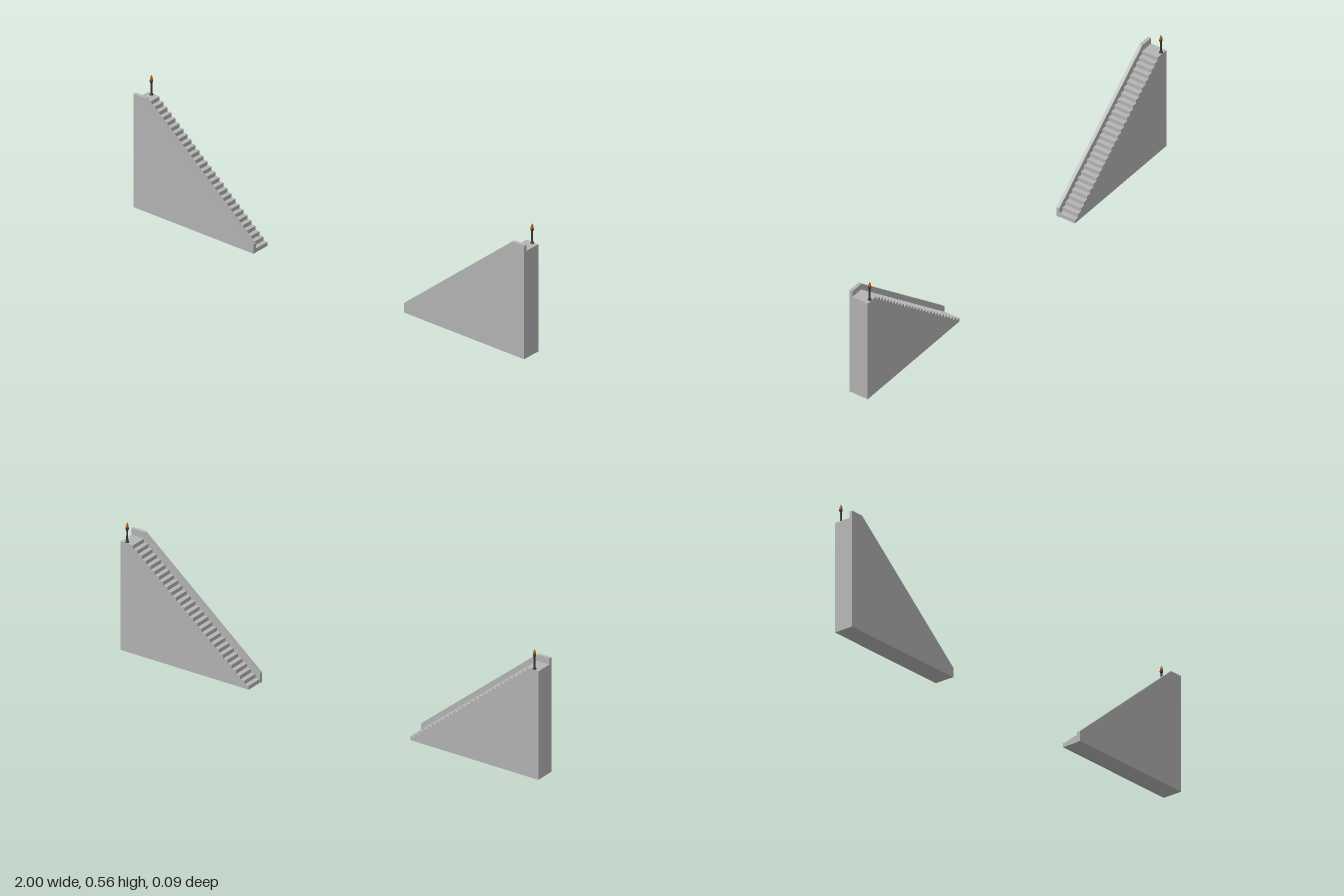
import * as THREE from 'three';

const STEPS = 28, FOOT = 0.387, HEAD = 0.94, LANDING = 0.473;
const BACK = -0.044, INNER = 0.03, FRONT = 0.044;

export function createModel() {
  const mat = (name, color) => {
    const m = new THREE.MeshStandardMaterial({ color });
    m.name = name;
    return m;
  };
  const stone = mat('grey stone', 0xb4b4b4);
  const iron = mat('dark iron', 0x3a3a3a);
  const fire = mat('orange flame', 0xb8601f);
  const model = new THREE.Group();
  model.name = 'twinStaircases';

  // extrudes an outline in x and y between two depths; side mirrors it
  const slab = (name, points, side, z0, z1) => {
    const shape = new THREE.Shape(points.map(([x, y]) => new THREE.Vector2(x * side, y)));
    const geo = new THREE.ExtrudeGeometry(shape, { depth: z1 - z0, bevelEnabled: false });
    geo.translate(0, 0, z0);
    const mesh = new THREE.Mesh(geo, stone);
    mesh.name = name;
    return mesh;
  };

  // turned part with flat facets
  const turned = (name, profile, material) => {
    const geo = new THREE.LatheGeometry(profile.map(([r, y]) => new THREE.Vector2(r, y)), 8).toNonIndexed();
    geo.computeVertexNormals();
    const mesh = new THREE.Mesh(geo, material);
    mesh.name = name;
    return mesh;
  };

  // solid stair outline: ground, outer end, landing, then steps down
  const run = (HEAD - FOOT) / (STEPS - 1), rise = LANDING / STEPS;
  const stairOutline = [[FOOT, 0], [1, 0], [1, LANDING]];
  for (let i = STEPS - 1; i >= 0; i--) {
    const x = FOOT + i * run;
    stairOutline.push([x, (i + 1) * rise]);
    if (i > 0) stairOutline.push([x, i * rise]);
  }
  const wallOutline = [[0.385, 0], [1, 0], [1, 0.5], [0.94, 0.5], [0.385, 0.042]];

  for (const side of [1, -1]) {
    const flight = new THREE.Group();
    flight.name = side > 0 ? 'leftStaircase' : 'rightStaircase';
    flight.add(slab('steps', stairOutline, side, BACK, INNER));
    flight.add(slab('parapet', wallOutline, side, INNER, FRONT));

    // torch standing on the landing
    const torch = new THREE.Group();
    torch.name = 'torch';
    torch.add(turned('torchStand', [
      [0, 0], [0.008, 0], [0.008, 0.002], [0.0042, 0.008], [0.0036, 0.045],
      [0.0042, 0.052], [0.0066, 0.059], [0.0066, 0.064], [0, 0.064],
    ], iron));
    torch.add(turned('flame', [
      [0, 0.064], [0.005, 0.064], [0.0062, 0.071], [0.0035, 0.079], [0, 0.088],
    ], fire));
    torch.position.set(0.975 * side, LANDING, -0.035);
    flight.add(torch);
    model.add(flight);
  }
  return model;
}
